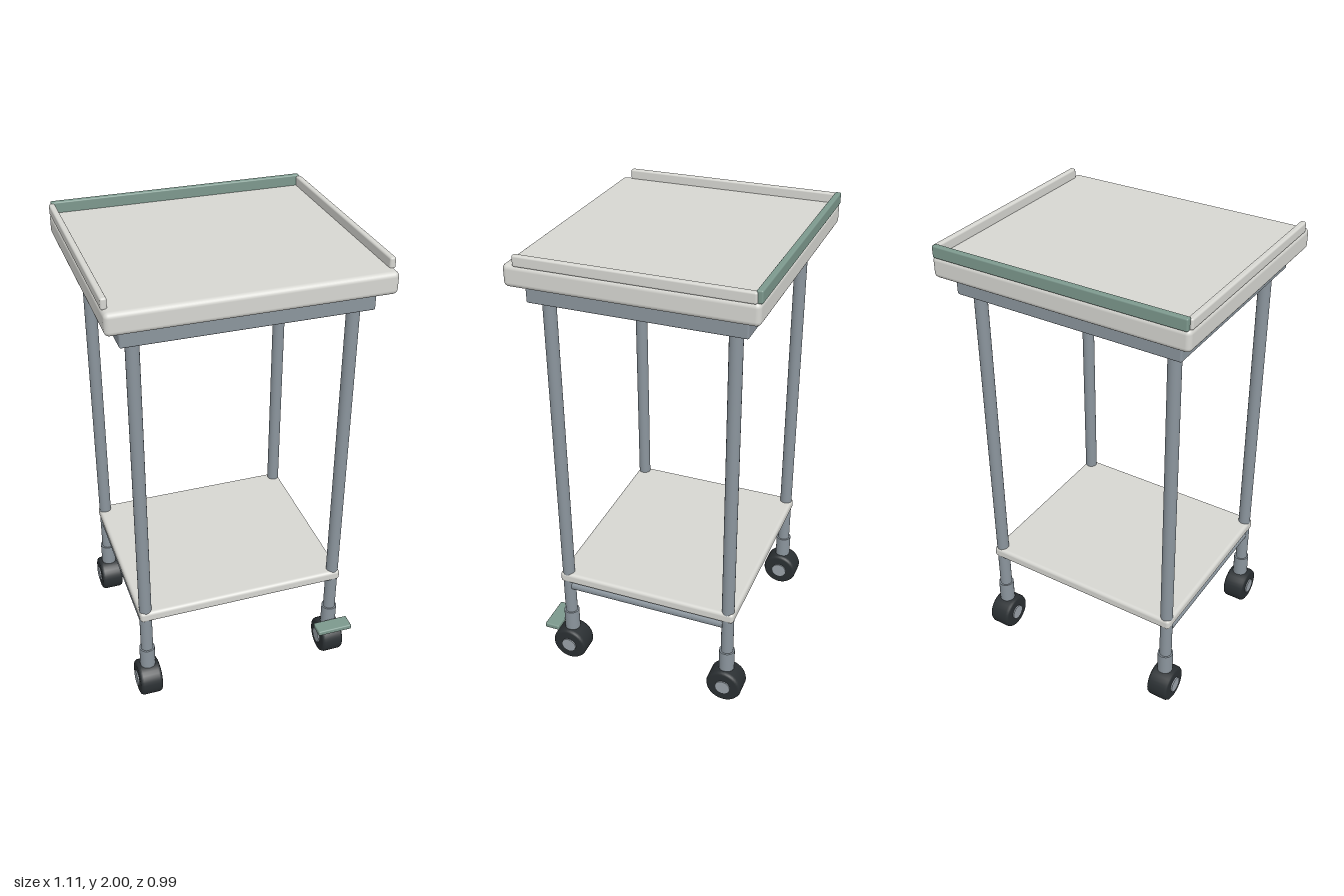
import * as THREE from 'three';
import { RoundedBoxGeometry } from 'three/addons/geometries/RoundedBoxGeometry.js';

const paint = (color) => new THREE.MeshStandardMaterial({ color });

export function createModel() {
  const cart = new THREE.Group();
  cart.name = 'trolley';
  const panel = paint(0xd6d6d1), steel = paint(0x8b959d), hubGrey = paint(0x9aa2a9);
  const green = paint(0x7c988d), rubber = paint(0x2a2f32);

  const add = (name, geometry, material, x, y, z, parent = cart) => {
    const mesh = new THREE.Mesh(geometry, material);
    mesh.name = name;
    mesh.position.set(x, y, z);
    parent.add(mesh);
    return mesh;
  };
  // Rounded box given by its lower and upper corners
  const box = (name, material, [x0, y0, z0], [x1, y1, z1], radius) =>
    add(name, new RoundedBoxGeometry(x1 - x0, y1 - y0, z1 - z0, 3, radius), material,
      (x0 + x1) / 2, (y0 + y1) / 2, (z0 + z1) / 2);

  // Top, apron and lower shelf
  box('tableTop', panel, [-0.555, 1.865, -0.495], [0.555, 1.955, 0.495], 0.02);
  box('apron', steel, [-0.495, 1.785, -0.438], [0.495, 1.867, 0.438], 0.008);
  box('lowerShelf', panel, [-0.462, 0.43, -0.404], [0.462, 0.48, 0.404], 0.015);

  // Raised edges of the top
  box('backRail', green, [-0.545, 1.95, -0.498], [0.545, 2, -0.473], 0.006);
  for (const s of [-1, 1]) {
    const side = s > 0 ? 'left' : 'right';
    box(side + 'Rail', panel, [s * 0.543 - 0.0125, 1.95, -0.48], [s * 0.543 + 0.0125, 1.995, 0.45], 0.008);
    // Rod under the shelf joining front and back legs
    add(side + 'ShelfRod', new THREE.CylinderGeometry(0.023, 0.023, 0.71, 20), steel, s * 0.434, 0.407, 0)
      .rotation.x = Math.PI / 2;
  }

  // Tyre cross-section with softened shoulders, turned around the axle
  const tyreGeometry = new THREE.LatheGeometry([
    [0, -0.05], [0.066, -0.05], [0.075, -0.046], [0.08, -0.036],
    [0.08, 0.036], [0.075, 0.046], [0.066, 0.05], [0, 0.05],
  ].map(([r, y]) => new THREE.Vector2(r, y)), 32);
  const hubGeometry = new THREE.CylinderGeometry(0.034, 0.034, 0.112, 24);
  const legGeometry = new THREE.CylinderGeometry(0.027, 0.027, 1.56, 20);
  const sleeveGeometry = new THREE.CylinderGeometry(0.034, 0.034, 0.1, 20);

  // Legs with casters at the four corners
  for (const x of [-0.434, 0.434]) {
    for (const z of [-0.373, 0.373]) {
      const corner = (z > 0 ? 'front' : 'back') + (x > 0 ? 'Left' : 'Right');
      add(corner + 'Leg', legGeometry, steel, x, 1.01, z);
      const caster = new THREE.Group();
      caster.name = corner + 'Caster';
      caster.position.set(x, 0, z);
      cart.add(caster);
      add('sleeve', sleeveGeometry, steel, 0, 0.21, 0, caster);
      add('tyre', tyreGeometry, rubber, 0, 0.082, 0, caster).rotation.z = Math.PI / 2;
      add('hub', hubGeometry, hubGrey, 0, 0.082, 0, caster).rotation.z = Math.PI / 2;
    }
  }

  // Brake pedal on the front left caster
  box('brakePedal', green, [0.347, 0.176, 0.408], [0.507, 0.2, 0.475], 0.006);

  return cart;
}
